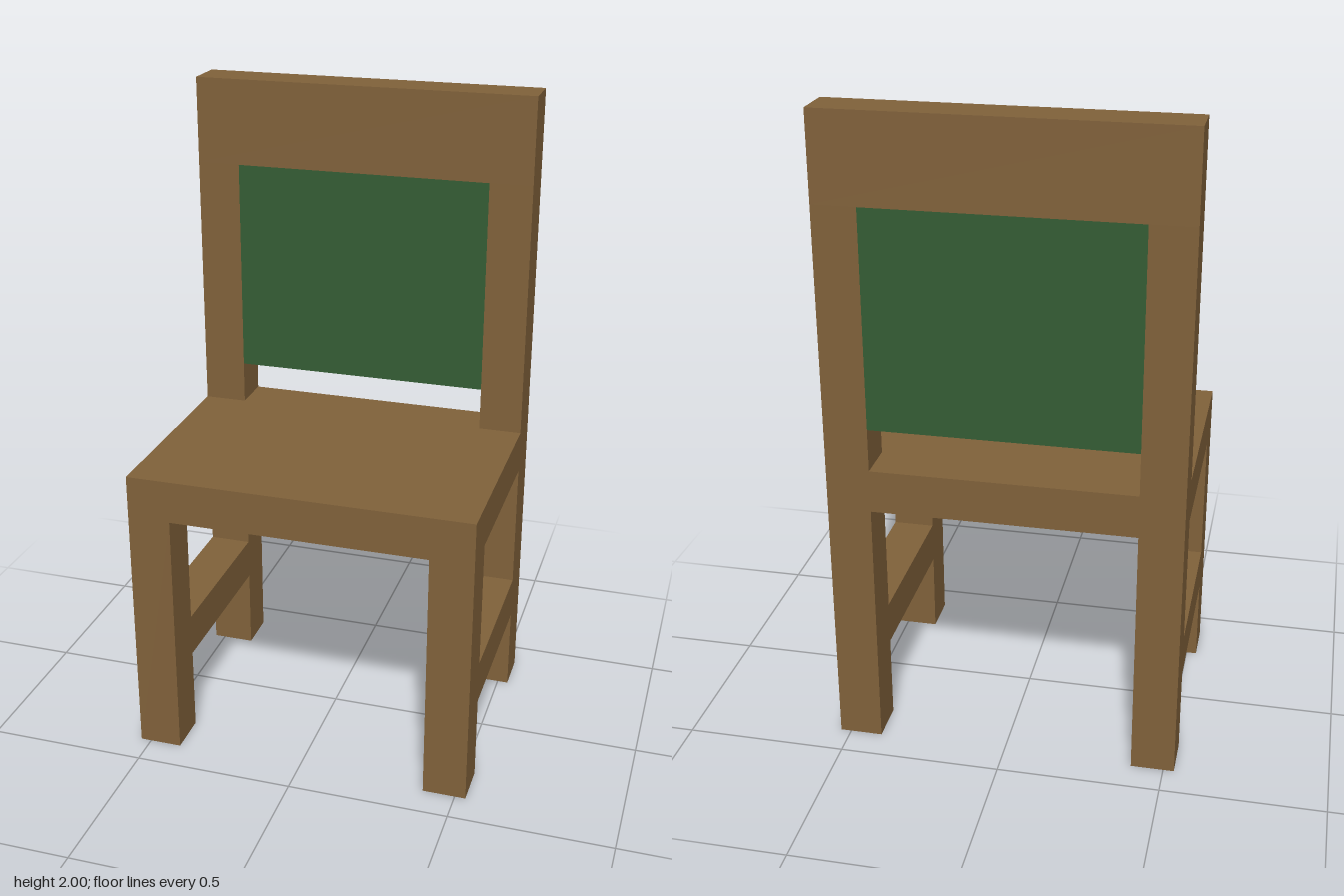
import * as THREE from 'three';

// The chair sits on a regular grid: 15 units tall, 8 wide, 6 deep
const U = 2 / 15;

export function createModel() {
  const chair = new THREE.Group();
  chair.name = 'chair';

  const wood = new THREE.MeshStandardMaterial({ color: 0x80613a });
  wood.name = 'brown wood';
  const fabric = new THREE.MeshStandardMaterial({ color: 0x345c34 });
  fabric.name = 'green panel';

  // Box between two grid corners
  function block(name, material, [x0, y0, z0], [x1, y1, z1]) {
    const geometry = new THREE.BoxGeometry((x1 - x0) * U, (y1 - y0) * U, (z1 - z0) * U);
    const mesh = new THREE.Mesh(geometry, material);
    mesh.position.set((x0 + x1) * U / 2, (y0 + y1) * U / 2, (z0 + z1) * U / 2);
    mesh.name = name;
    chair.add(mesh);
  }

  // Legs, back posts and side stretchers
  for (const [side, x] of [['right', -4], ['left', 3]]) {
    block(side + 'FrontLeg', wood, [x, 0, 2], [x + 1, 6, 3]);
    block(side + 'BackPost', wood, [x, 0, -3], [x + 1, 13, -2]);
    block(side + 'Stretcher', wood, [x, 2, -2], [x + 1, 3, 2]);
  }

  // Seat, with its rear edge running between the back posts
  block('seat', wood, [-4, 6, -2], [4, 7, 3]);
  block('seatRearEdge', wood, [-3, 6, -3], [3, 7, -2]);

  // Backrest
  block('topRail', wood, [-4, 13, -3], [4, 15, -2]);
  block('backPanel', fabric, [-3, 8, -3], [3, 13, -2]);

  return chair;
}
